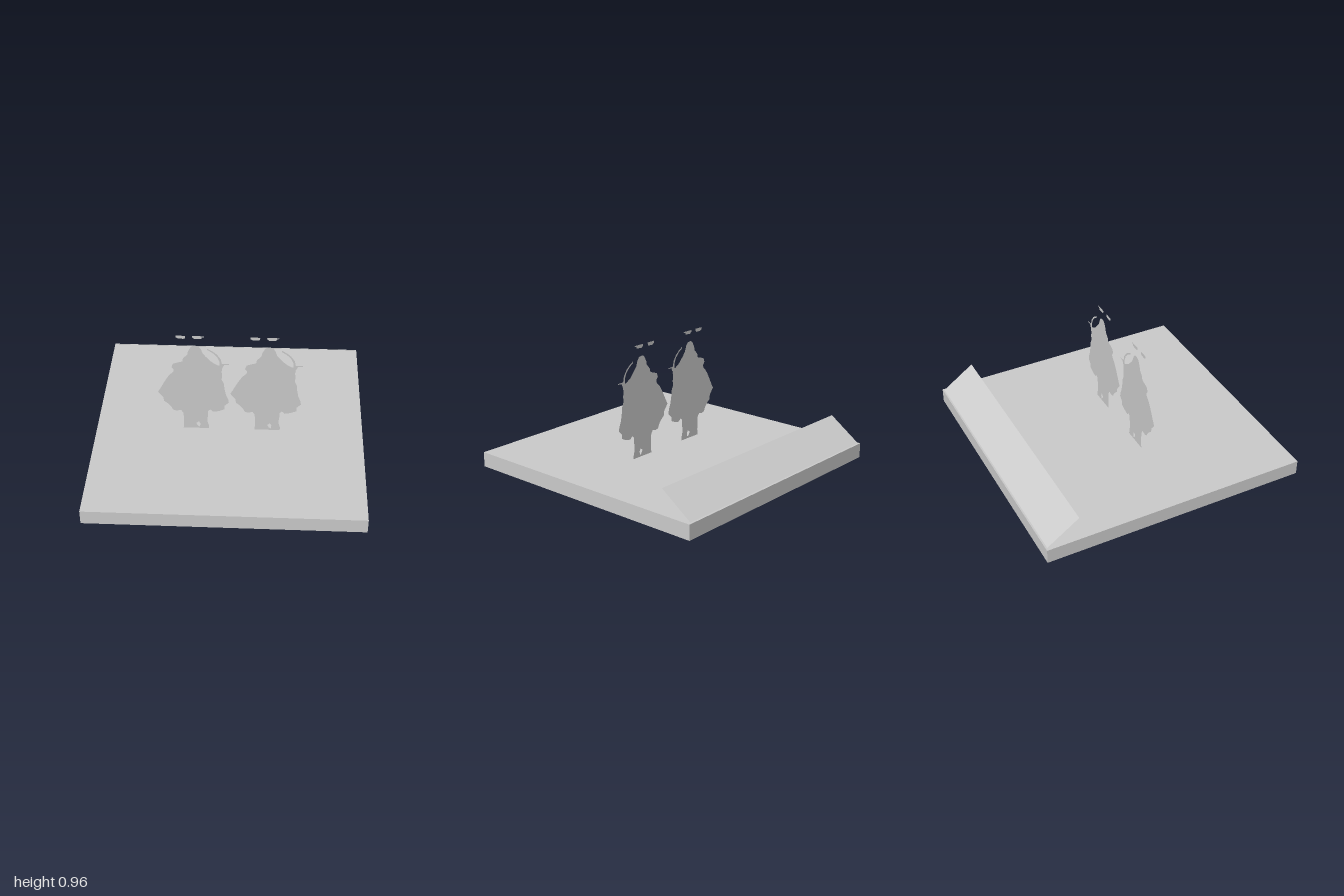
import * as THREE from 'three';

const BASE_H = 0.112;

// closed outline in hundredths of a unit, measured from the figure's centre line
function outline(points) {
  return points.map(([x, y]) => new THREE.Vector2(x / 100, y / 100));
}

const BODY = [
  [-1, 86.6], [1, 87.7], [4.3, 87.2], [6, 85], [7.5, 80.7], [9.6, 78], [13.9, 73.3], [18.2, 70.6], [20.3, 70.6],
  [21.4, 67.4], [20.9, 65], [21.4, 61], [20.9, 57.8], [22.5, 54], [23, 49.2], [24, 43.9], [25.7, 39.6], [26.2, 36.4],
  [24.6, 34.8], [23, 33.2], [23, 30], [19.3, 28.3], [16.6, 27.6], [14.5, 27.3], [12.3, 29.4], [10.7, 27.8],
  [10.7, 24.6], [10.2, 20.9], [10.2, 17.6], [11.2, 13.9], [11.2, 11.3], [-8, 11.3], [-7.5, 15.5], [-7.5, 20.9],
  [-8, 25.7], [-9.6, 28.3], [-12.8, 27.3], [-15.5, 28.3], [-16.6, 31], [-19.3, 34.2], [-21.9, 36.4], [-22.5, 40.1],
  [-26.2, 44.9], [-24.6, 47.6], [-21.9, 53], [-19.3, 57.8], [-17.1, 61], [-14.4, 63.6], [-13.9, 65.8], [-15.5, 68],
  [-14.4, 71], [-11.2, 72.2], [-7.5, 73.3], [-7, 76], [-3.7, 79.7], [-3.2, 82.5]];
const LEG_GAP = [[1.6, 16], [3.7, 17.6], [4.8, 15.5], [4.3, 12.3], [2.7, 13.9]];
const BOW = [
  [10.7, 85.2], [14.4, 83], [17.6, 80.2], [20.3, 76.2], [21.2, 72], [26.3, 71.9], [26.3, 71.2], [22.9, 71.2],
  [21.4, 68], [19.4, 70.6], [19.4, 74], [17.8, 78], [14.4, 81.6], [10.7, 84]];
const FLAKES = [
  [[-11.8, 96], [-4.8, 96], [-5, 94], [-6, 93.4], [-10, 93.4], [-11.6, 94.4]],
  [[0, 96], [9, 96], [8.4, 95.2], [7, 95], [6.6, 93.6], [1.6, 93.4], [0.2, 94.6]]];

export function createModel() {
  const root = new THREE.Group();
  const grey = new THREE.MeshStandardMaterial({ color: 0xcccccc, side: THREE.DoubleSide });
  grey.name = 'plain grey';

  const add = (parent, name, geometry) => {
    const mesh = new THREE.Mesh(geometry, grey);
    mesh.name = name;
    parent.add(mesh);
    return mesh;
  };

  // square floor slab
  add(root, 'floorSlab', new THREE.BoxGeometry(2, BASE_H, 2)).position.y = BASE_H / 2;

  // leaning panel along the back, its upper edge tipped forward
  const rise = 0.17, run = 0.24;
  const panel = add(root, 'backPanel', new THREE.PlaneGeometry(1.96, Math.hypot(rise, run)));
  panel.position.set(0, 0.117 + rise / 2, -0.99 + run / 2);
  panel.rotation.x = Math.atan2(run, rise);

  // two identical flat standing cutouts
  const body = new THREE.Shape(outline(BODY));
  body.holes.push(new THREE.Path(outline(LEG_GAP)));
  const bodyGeometry = new THREE.ShapeGeometry(body);
  const bowGeometry = new THREE.ShapeGeometry(new THREE.Shape(outline(BOW)));
  const flakeGeometries = FLAKES.map((f) => new THREE.ShapeGeometry(new THREE.Shape(outline(f))));

  for (const side of [-1, 1]) {
    const figure = new THREE.Group();
    figure.name = side < 0 ? 'rightFigure' : 'leftFigure';
    add(figure, 'cloakedBody', bodyGeometry);
    add(figure, 'bow', bowGeometry);
    flakeGeometries.forEach((g) => add(figure, 'floatingFragment', g));
    figure.position.set(side * 0.267, 0, 0.06);
    root.add(figure);
  }
  return root;
}
